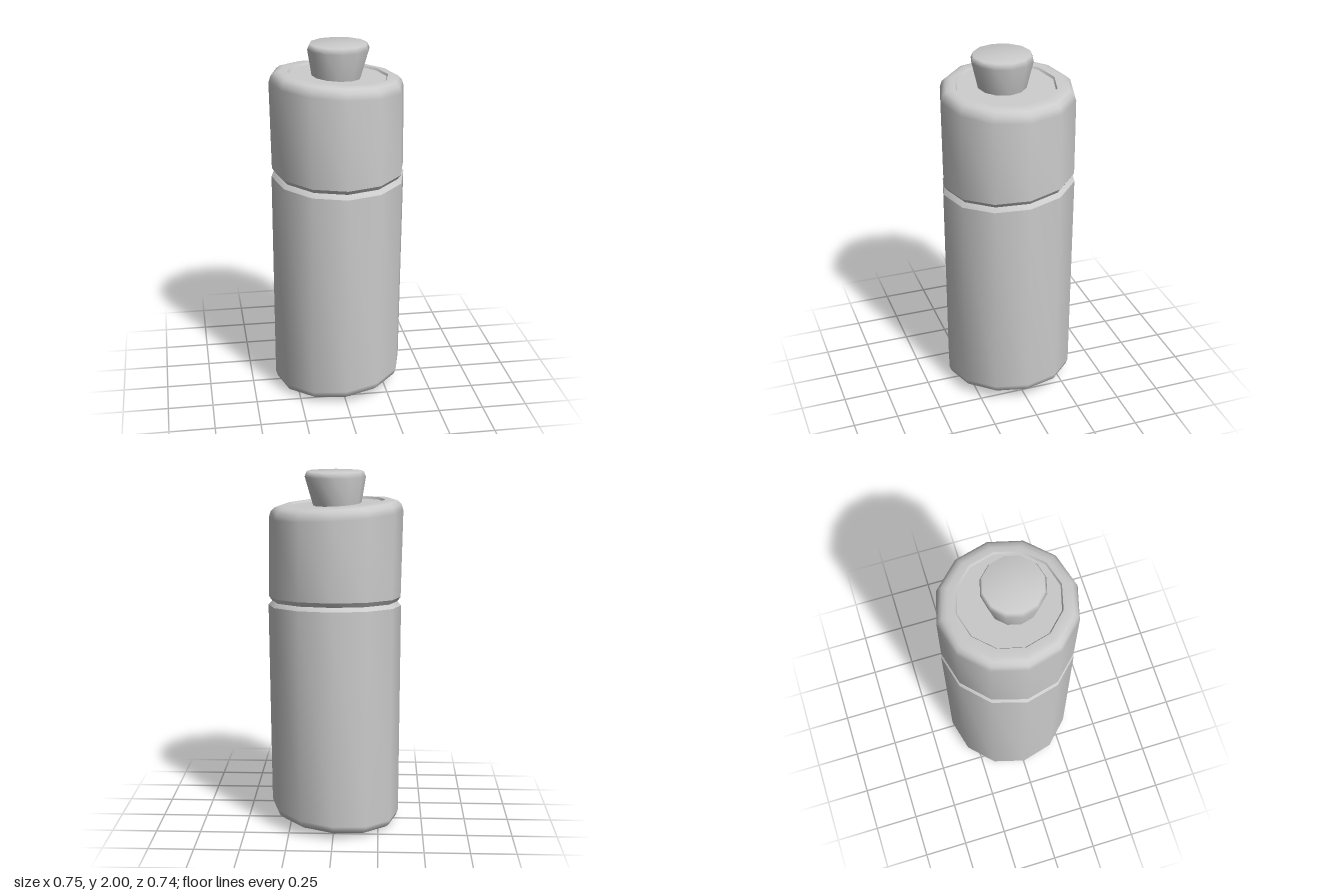
import * as THREE from 'three';
import { mergeVertices } from 'three/addons/utils/BufferGeometryUtils.js';

const SIDES = 12;
const material = new THREE.MeshStandardMaterial({ color: 0xcccccc });

// Tilt of a ring plane: y rises by sx per unit x and sz per unit z; dx, dz shift its centre.
const BASE = { sx: 0.083, sz: 0, dx: -0.002, dz: 0 };
const SEAM = { sx: 0, sz: -0.08, dx: 0.002, dz: 0 };
const TOP = { sx: -0.06, sz: 0, dx: -0.005, dz: 0 };
const INSET = { sx: -0.06, sz: 0, dx: 0, dz: 0.01 };
const KNOB = { sx: 0, sz: 0, dx: 0, dz: 0.031 };
const KNOB_FOOT = { sx: -0.06, sz: 0, dx: -0.012, dz: 0.028 };

// Smooth turned band through tilted rings; rows are [radius, height, tilt].
function band(rows) {
  const profile = rows.map(([r, y]) => new THREE.Vector2(r, y));
  let geo = new THREE.LatheGeometry(profile, SIDES);
  const pos = geo.attributes.position;
  for (let i = 0; i < pos.count; i++) {
    const t = rows[i % rows.length][2];
    const x = pos.getX(i), z = pos.getZ(i);
    pos.setXYZ(i, x + t.dx, pos.getY(i) + t.sx * x + t.sz * z, z + t.dz);
  }
  geo.deleteAttribute('uv');
  geo.deleteAttribute('normal');
  geo = mergeVertices(geo, 1e-5);
  geo.computeVertexNormals();
  return geo;
}

// A part is a group of bands with sharp edges between them.
function part(name, bands) {
  const group = new THREE.Group();
  group.name = name;
  bands.forEach((rows, i) => {
    const mesh = new THREE.Mesh(band(rows), material);
    mesh.name = `${name}Band${i + 1}`;
    group.add(mesh);
  });
  return group;
}

export function createModel() {
  const model = new THREE.Group();
  model.name = 'bottle';

  model.add(
    // Slightly raised foot disc under the bottle
    part('foot', [
      [[0, 0.022, BASE], [0.25, 0.022, BASE]],
      [[0.25, 0.022, BASE], [0.272, 0.034, BASE]],
    ]),
    // Rounded base and tall wall
    part('body', [
      [
        [0.272, 0.034, BASE], [0.3, 0.027, BASE], [0.33, 0.036, BASE],
        [0.352, 0.052, BASE], [0.364, 0.085, BASE], [0.37, 1.262, SEAM],
      ],
    ]),
    // V-shaped groove between body and cap
    part('groove', [
      [[0.37, 1.262, SEAM], [0.349, 1.285, SEAM]],
      [[0.349, 1.285, SEAM], [0.367, 1.31, SEAM]],
    ]),
    // Cap wall with rounded shoulder, and the inset top
    part('cap', [
      [
        [0.367, 1.31, SEAM], [0.369, 1.77, TOP], [0.358, 1.805, TOP],
        [0.338, 1.824, TOP], [0.31, 1.832, TOP], [0.275, 1.832, INSET],
      ],
      [[0.275, 1.832, INSET], [0.268, 1.82, INSET]],
      [[0.268, 1.82, INSET], [0, 1.82, INSET]],
    ]),
    // Flared knob with a softened rim
    part('knob', [
      [
        [0.132, 1.815, KNOB_FOOT], [0.168, 1.97, KNOB],
        [0.156, 2, KNOB], [0, 2, KNOB],
      ],
    ]),
  );
  return model;
}
